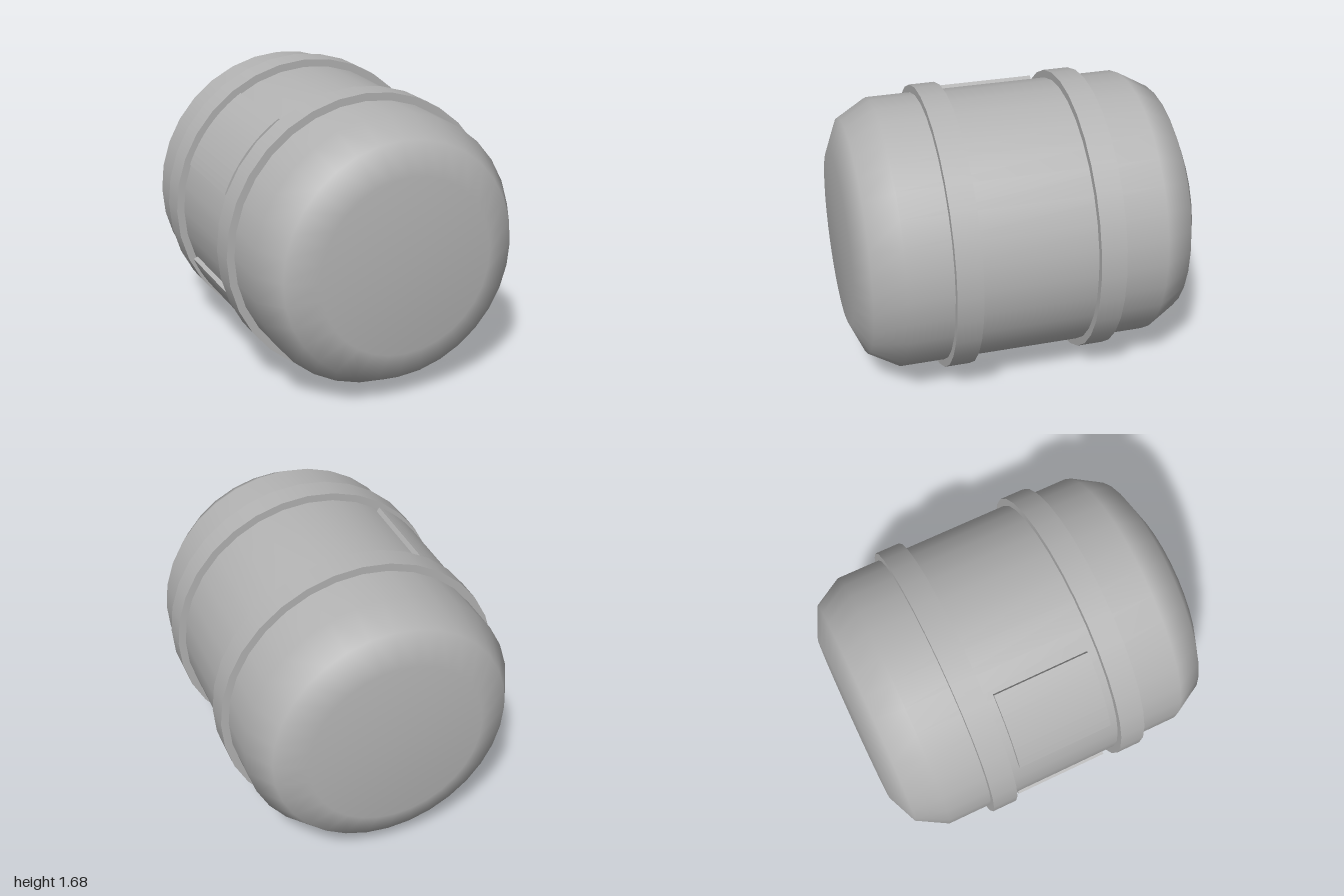
import * as THREE from 'three';

const RADIUS = 0.84; // outer radius of the bands, also the height of the axis
const SIDES = 32;

export function createModel() {
  const model = new THREE.Group();
  model.name = 'barrel';
  const grey = new THREE.MeshStandardMaterial({ color: 0xb4b4b4 });
  grey.name = 'grey';

  const add = (name, geometry, z = 0) => {
    const mesh = new THREE.Mesh(geometry, grey);
    mesh.name = name;
    mesh.position.set(0, RADIUS, z);
    model.add(mesh);
    return mesh;
  };

  // Body lying along z, with rounded shoulders and flat ends
  const half = [[0, 1], [0.515, 1], [0.695, 0.922], [0.795, 0.747]];
  const profile = [
    ...half.map(([r, h]) => new THREE.Vector2(r, -h)),
    ...half.slice().reverse().map(([r, h]) => new THREE.Vector2(r, h)),
  ];
  add('body', new THREE.LatheGeometry(profile, SIDES).rotateX(Math.PI / 2));

  // Two raised bands
  for (const [name, z] of [['frontBand', 0.41], ['backBand', -0.41]]) {
    add(name, new THREE.CylinderGeometry(RADIUS, RADIUS, 0.15, SIDES).rotateX(Math.PI / 2), z);
  }

  // Two curved panels on the -x side, between the bands
  const panel = (name, startDeg, endDeg) => {
    const a = THREE.MathUtils.degToRad(startDeg);
    const b = THREE.MathUtils.degToRad(endDeg);
    const shape = new THREE.Shape();
    shape.absarc(0, 0, 0.822, a, b, false);
    shape.absarc(0, 0, 0.77, b, a, true);
    shape.closePath();
    const geometry = new THREE.ExtrudeGeometry(shape, { depth: 0.57, bevelEnabled: false, curveSegments: 8 });
    add(name, geometry, -0.285);
  };
  panel('upperPanel', 122, 158.5);
  panel('lowerPanel', 201.5, 238);

  return model;
}
